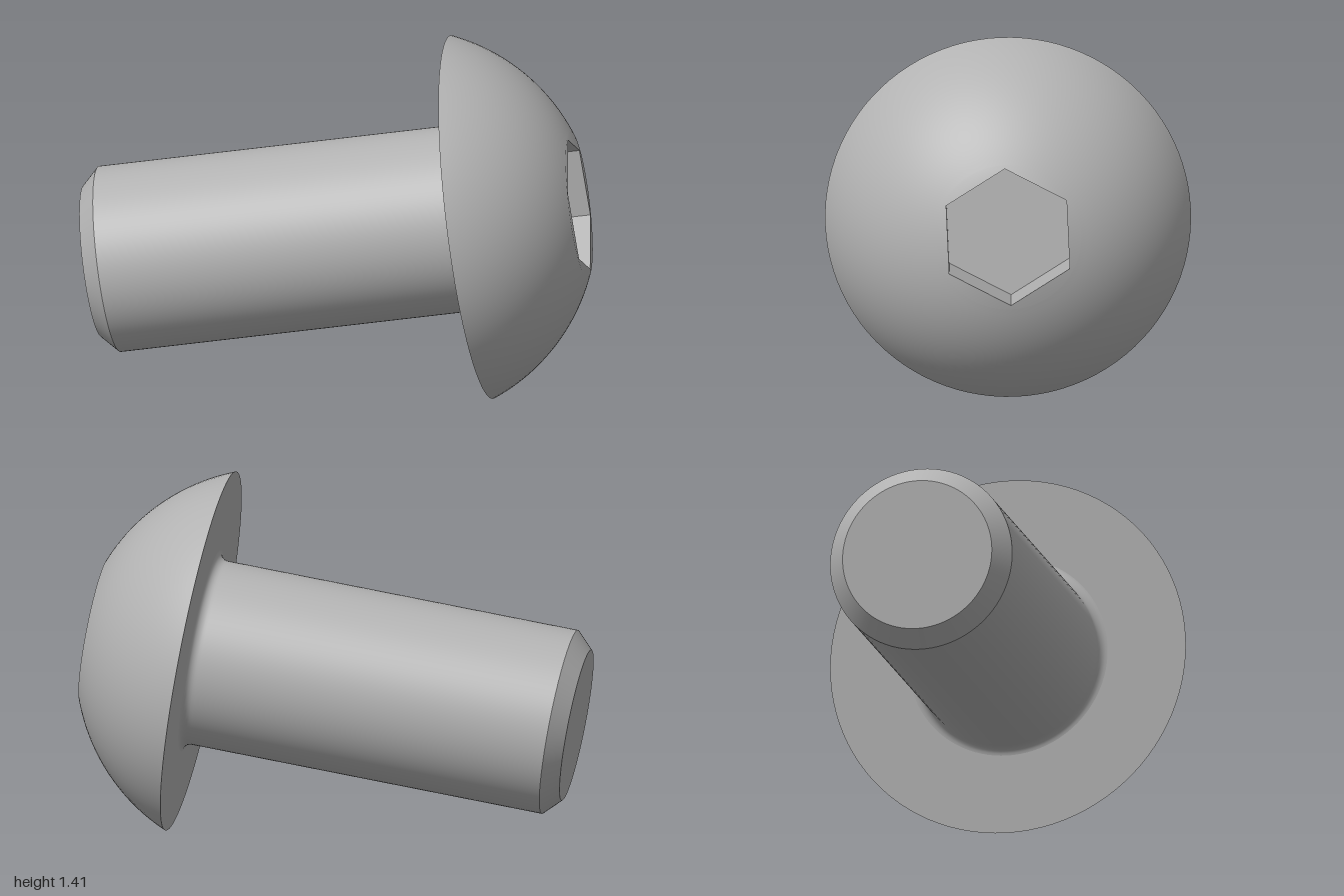
import * as THREE from 'three';

// Button-head socket screw, built along local +y (underside of head at y = 0), then tilted.
const SEG = 96;
const SHAFT_R = 0.366, TIP_R = 0.3, END = -1.505, CHAMFER = 0.066, FILLET = 0.035;
const HEAD_R = 0.715, HEAD_H = 0.426, FLAT_R = 0.287;
const HEX_R = 0.272, HEX_DEPTH = 0.23;

export function createModel() {
  const steel = new THREE.MeshStandardMaterial({ color: 0xb2b2b2 });
  steel.name = 'grey steel';
  const screw = new THREE.Group();
  screw.name = 'screw';

  const add = (name, geometry) => {
    const mesh = new THREE.Mesh(geometry, steel);
    mesh.name = name;
    screw.add(mesh);
  };
  const lathe = (points) =>
    new THREE.LatheGeometry(points.map(([r, y]) => new THREE.Vector2(r, y)), SEG);

  // Shaft: flat tip, chamfer, cylinder flaring into a small fillet
  add('shaftTip', new THREE.CircleGeometry(TIP_R, SEG).rotateX(Math.PI / 2).translate(0, END, 0));
  add('shaftChamfer', lathe([[TIP_R, END], [SHAFT_R, END + CHAMFER]]));
  const shaft = [[SHAFT_R, END + CHAMFER], [SHAFT_R, -FILLET - 0.01]];
  for (let i = 0; i <= 6; i++) {
    const a = (i / 6) * Math.PI / 2;
    shaft.push([SHAFT_R + FILLET * (1 - Math.cos(a)), FILLET * (Math.sin(a) - 1)]);
  }
  add('shaft', lathe(shaft));

  // Head: flat underside and spherical dome
  add('headUnderside', new THREE.RingGeometry(SHAFT_R + FILLET, HEAD_R, SEG).rotateX(Math.PI / 2));
  const centreY = (HEAD_H ** 2 + FLAT_R ** 2 - HEAD_R ** 2) / (2 * HEAD_H);
  const sphereR = Math.hypot(HEAD_R, centreY);
  const a0 = Math.atan2(-centreY, HEAD_R), a1 = Math.atan2(HEAD_H - centreY, FLAT_R);
  const dome = [];
  for (let i = 0; i <= 24; i++) {
    const a = a0 + (a1 - a0) * i / 24;
    dome.push([sphereR * Math.cos(a), centreY + sphereR * Math.sin(a)]);
  }
  add('headDome', lathe(dome));

  // Flat top around the socket, with normals that continue the dome
  const top = new THREE.Shape().absarc(0, 0, FLAT_R, 0, Math.PI * 2);
  const hex = [];
  for (let i = 0; i < 6; i++) {
    const a = -i * Math.PI / 3;
    hex.push(new THREE.Vector2(HEX_R * Math.cos(a), HEX_R * Math.sin(a)));
  }
  top.holes.push(new THREE.Path(hex));
  const topGeo = new THREE.ShapeGeometry(top, SEG / 2).rotateX(-Math.PI / 2).translate(0, HEAD_H, 0);
  const p = topGeo.attributes.position, n = new THREE.Vector3();
  for (let i = 0; i < p.count; i++) {
    n.set(p.getX(i), p.getY(i) - centreY, p.getZ(i)).normalize();
    topGeo.attributes.normal.setXYZ(i, n.x, n.y, n.z);
  }
  add('headTop', topGeo);

  // Hexagonal socket: walls mirrored to face inward, plus floor
  const walls = new THREE.CylinderGeometry(HEX_R, HEX_R, HEX_DEPTH, 6, 1, true)
    .rotateY(Math.PI / 2).scale(-1, 1, 1).translate(0, HEAD_H - HEX_DEPTH / 2, 0).toNonIndexed();
  walls.computeVertexNormals();
  add('socketWalls', walls);
  add('socketFloor', new THREE.CircleGeometry(HEX_R, 6).rotateX(-Math.PI / 2).translate(0, HEAD_H - HEX_DEPTH, 0));

  // Tilt the axis so the head points to +x, slightly up and back
  const axis = new THREE.Vector3(1, 0.157, -0.088).normalize();
  const side = new THREE.Vector3(0, 1, 0.045);
  side.addScaledVector(axis, -side.dot(axis)).normalize();
  const third = new THREE.Vector3().crossVectors(side, axis);
  screw.quaternion.setFromRotationMatrix(new THREE.Matrix4().makeBasis(side, axis, third));
  screw.position.set(0.533, 0.707, 0);

  const model = new THREE.Group();
  model.name = 'buttonHeadScrew';
  model.add(screw);
  return model;
}
